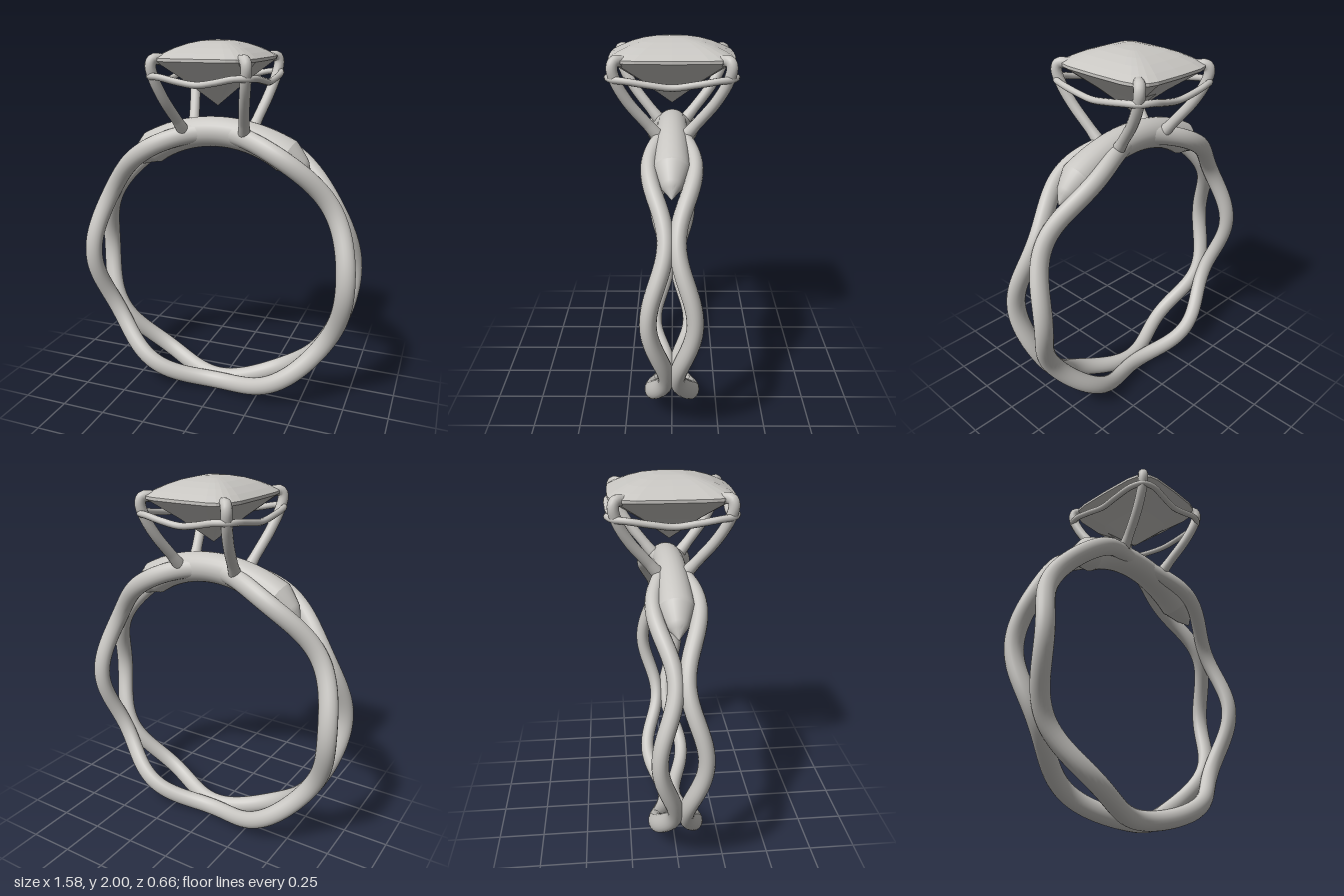
import * as THREE from 'three';
import { toCreasedNormals } from 'three/addons/utils/BufferGeometryUtils.js';

const metal = new THREE.MeshStandardMaterial({ color: 0xc8c6c2 });
metal.name = 'pale silver';

const RING_Y = 0.79, RING_R = 0.738;
const v = (x, y, z) => new THREE.Vector3(x, y, z);

// Closed or open path defined by a function of t in 0..1
class PathCurve extends THREE.Curve {
  constructor(fn) { super(); this.fn = fn; }
  getPoint(t, target = new THREE.Vector3()) { return target.copy(this.fn(t)); }
}

function add(group, name, geometry) {
  const mesh = new THREE.Mesh(geometry, metal);
  mesh.name = name;
  group.add(mesh);
  return mesh;
}

// Tube whose radius follows radiusAt(t)
function taperedTube(curve, segments, sides, radiusAt) {
  const geo = new THREE.TubeGeometry(curve, segments, 1, sides, false);
  const pos = geo.attributes.position, p = v(0, 0, 0);
  for (let i = 0; i <= segments; i++) {
    const t = i / segments, centre = curve.getPointAt(t), r = radiusAt(t);
    for (let j = 0; j <= sides; j++) {
      const k = i * (sides + 1) + j;
      p.fromBufferAttribute(pos, k).sub(centre).multiplyScalar(r).add(centre);
      pos.setXYZ(k, p.x, p.y, p.z);
    }
  }
  return geo;
}

// Band: two mirrored wavy strands that touch every sixty degrees
function addBand(group) {
  const squash = 0.8;
  for (const side of [1, -1]) {
    const curve = new PathCurve((t) => {
      const a = t * Math.PI * 2;
      const z = side * (0.069 + 0.041 * Math.cos(6 * a)) / squash;
      return v(RING_R * Math.cos(a), RING_Y + RING_R * Math.sin(a), z);
    });
    const geo = new THREE.TubeGeometry(curve, 180, 0.051, 20, true);
    geo.scale(1, 1, squash);
    add(group, side > 0 ? 'frontStrand' : 'backStrand', geo);
  }
}

// Bridge: thick arc filling the top of the band, with tapered ends
function addBridge(group) {
  const half = THREE.MathUtils.degToRad(44);
  const curve = new PathCurve((t) => {
    const a = (2 * t - 1) * half;
    return v(RING_R * Math.sin(a), RING_Y + RING_R * Math.cos(a), 0);
  });
  const radiusAt = (t) => {
    const d = Math.abs(2 * t - 1) * 44;
    if (d <= 31) return 0.08 + 0.012 * (d / 31) ** 2;
    if (d <= 39) return THREE.MathUtils.lerp(0.092, 0.05, (d - 31) / 8);
    return THREE.MathUtils.lerp(0.05, 0, (d - 39) / 5);
  };
  add(group, 'bridge', toCreasedNormals(taperedTube(curve, 88, 24, radiusAt), 0.4));
}

// Four prongs rising from the bridge and hooking over the stone corners
function addProngs(group) {
  for (const sx of [1, -1]) for (const sz of [1, -1]) {
    const path = [
      [0.165, 1.51, 0.05], [0.183, 1.59, 0.115], [0.215, 1.71, 0.21],
      [0.238, 1.81, 0.265], [0.247, 1.88, 0.283], [0.238, 1.908, 0.274], [0.203, 1.908, 0.235],
    ].map(([x, y, z]) => v(sx * x, y, sz * z));
    const curve = new THREE.CatmullRomCurve3(path);
    const prong = new THREE.Group();
    prong.name = (sz > 0 ? 'front' : 'back') + (sx > 0 ? 'Left' : 'Right') + 'Prong';
    const geo = taperedTube(curve, 48, 14, (t) => (t < 0.2 ? 0.036 - 0.04 * t : 0.028));
    add(prong, 'prongStem', toCreasedNormals(geo, 1));
    const tip = add(prong, 'prongTip', new THREE.SphereGeometry(0.028, 14, 10));
    tip.position.copy(path[path.length - 1]);
    group.add(prong);
  }
}

// Gallery rail: thin loop under the girdle, dipping midway along each side
function addRail(group) {
  const quarter = [[0, 1.794, 0.303], [0.1, 1.808, 0.309], [0.19, 1.827, 0.31],
    [0.25, 1.828, 0.285], [0.276, 1.825, 0.22], [0.281, 1.808, 0.11]];
  const middle = [0.277, 1.794, 0];
  const right = [...quarter, middle, ...quarter.slice(1).reverse().map(([x, y, z]) => [x, y, -z])];
  const loop = [...right, [0, 1.794, -0.303], ...right.slice(1).reverse().map(([x, y, z]) => [-x, y, z])];
  const curve = new THREE.CatmullRomCurve3(loop.map((p) => v(...p)), true);
  add(group, 'galleryRail', new THREE.TubeGeometry(curve, 120, 0.017, 10, true));
}

// Stone: faceted cushion with pointed pavilion and low domed crown
function addStone(group) {
  const crown = [1, 0.86, 0.68, 0.48, 0.26, 0].map(
    (s) => new THREE.Vector2(s, 1.915 + 0.085 * (1 - s ** 2.1)));
  const profile = [new THREE.Vector2(0, 1.665), new THREE.Vector2(0.52, 1.795),
    new THREE.Vector2(1, 1.9), ...crown];
  const geo = new THREE.LatheGeometry(profile, 24);
  const pos = geo.attributes.position;
  const bulge = (c) => Math.sign(c) * Math.abs(c) ** 0.42;
  for (let i = 0; i < pos.count; i++) {
    const x = pos.getX(i), z = pos.getZ(i), r = Math.hypot(x, z);
    if (r > 1e-6) {
      pos.setX(i, 0.265 * r * bulge(x / r));
      pos.setZ(i, 0.312 * r * bulge(z / r));
    }
  }
  const faceted = geo.toNonIndexed();
  faceted.computeVertexNormals();
  add(group, 'stone', faceted);
}

export function createModel() {
  const ring = new THREE.Group();
  ring.name = 'ring';
  addBand(ring);
  addBridge(ring);
  addProngs(ring);
  addRail(ring);
  addStone(ring);
  return ring;
}
